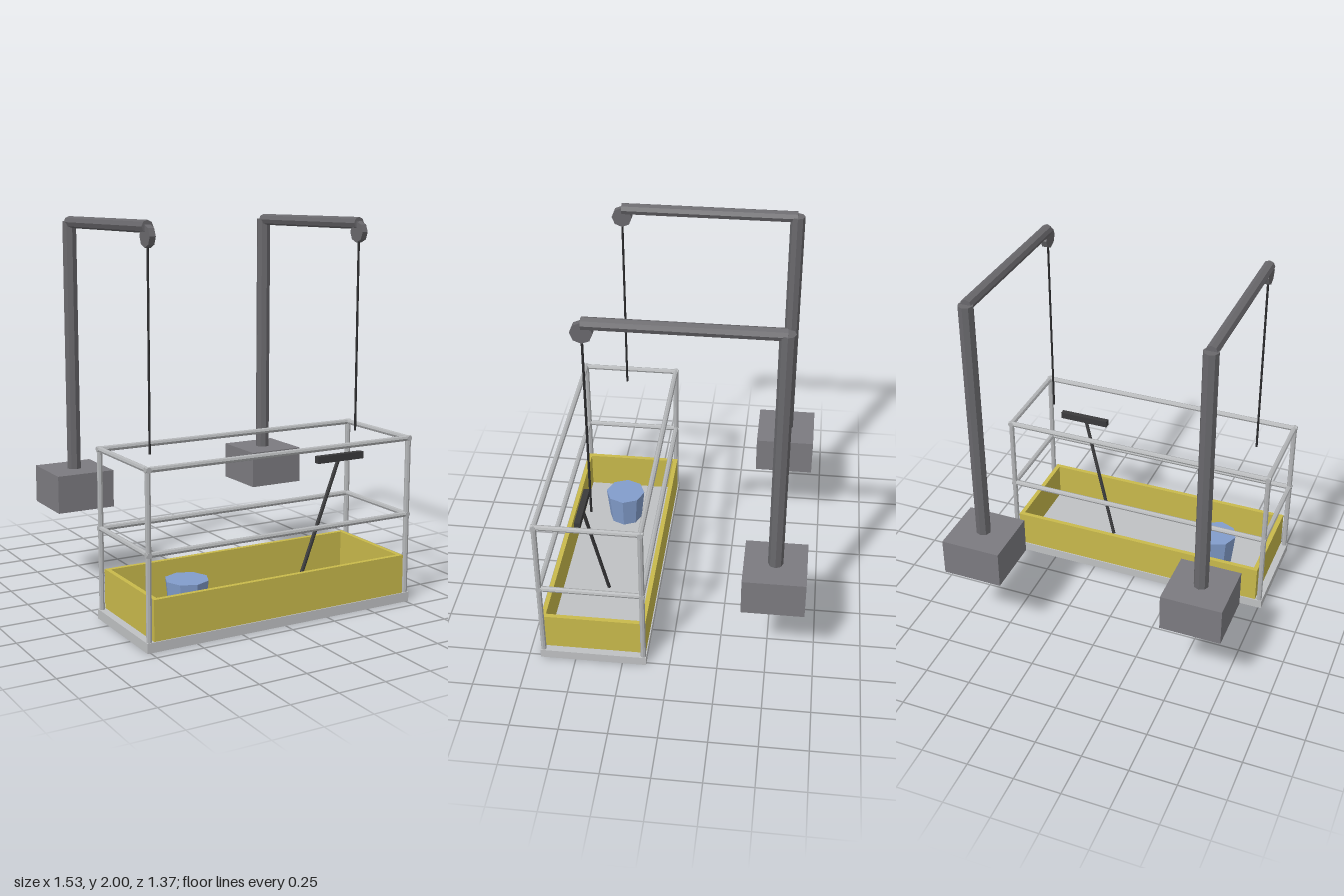
import * as THREE from 'three';

const mat = (name, color) => {
  const m = new THREE.MeshStandardMaterial({ color, flatShading: true });
  m.name = name;
  return m;
};

export function createModel() {
  const root = new THREE.Group();
  root.name = 'suspendedWorkPlatform';
  const deckGrey = mat('deck grey', 0xbfc1c3);
  const railGrey = mat('rail grey', 0xb4b6b8);
  const yellow = mat('board yellow', 0xc8b94b);
  const blockGrey = mat('counterweight grey', 0x7c7b80);
  const steel = mat('steel grey', 0x69686c);
  const black = mat('cable black', 0x2c2c2e);
  const dark = mat('tool dark grey', 0x3a3a3c);
  const blue = mat('bucket blue', 0x829dcc);

  const box = (name, m, w, h, d, x, y, z, parent = root) => {
    const mesh = new THREE.Mesh(new THREE.BoxGeometry(w, h, d), m);
    mesh.name = name;
    mesh.position.set(x, y, z);
    parent.add(mesh);
    return mesh;
  };
  // Eight-sided bar between two points
  const bar = (name, m, r, a, b, parent = root) => {
    const p = new THREE.Vector3(...a), q = new THREE.Vector3(...b);
    const dir = q.clone().sub(p);
    const mesh = new THREE.Mesh(new THREE.CylinderGeometry(r, r, dir.length(), 8), m);
    mesh.name = name;
    mesh.position.copy(p).add(q).multiplyScalar(0.5);
    mesh.quaternion.setFromUnitVectors(new THREE.Vector3(0, 1, 0), dir.normalize());
    parent.add(mesh);
    return mesh;
  };

  // Basket: deck, toe boards and guard rails
  const basket = new THREE.Group();
  basket.name = 'basket';
  root.add(basket);
  const zc = 0.405, rx = 0.75, rz = 0.266, r = 0.0145;
  box('deck', deckGrey, 1.534, 0.05, 0.564, 0, 0.025, zc, basket);
  for (const s of [-1, 1]) {
    const z = zc + s * rz, x = s * rx;
    box('longToeBoard', yellow, 1.456, 0.205, 0.024, 0, 0.1525, zc + s * 0.264, basket);
    box('endToeBoard', yellow, 0.024, 0.205, 0.504, s * 0.716, 0.1525, zc, basket);
    for (const y of [0.472, 0.876]) {
      bar('longRail', railGrey, r, [-rx - r, y, z], [rx + r, y, z], basket);
      bar('endRail', railGrey, r, [x, y, zc - rz - r], [x, y, zc + rz + r], basket);
    }
    for (const t of [-1, 1]) {
      bar('cornerPost', railGrey, r, [x, 0.05, zc + t * rz], [x, 0.884, zc + t * rz], basket);
    }
  }

  // Two davits, each with counterweight, mast, arm, pulley and cable
  for (const s of [-1, 1]) {
    const x = s * 0.606, zb = -0.526;
    const davit = new THREE.Group();
    davit.name = s > 0 ? 'leftDavit' : 'rightDavit';
    root.add(davit);
    box('counterweight', blockGrey, 0.322, 0.203, 0.322, x, 0.533, zb, davit);
    bar('mast', steel, 0.039, [x, 0.63, zb], [x, 1.973, zb], davit);
    bar('arm', steel, 0.031, [x, 1.969, zb], [x, 1.969, zc], davit);
    bar('pulley', steel, 0.054, [x - 0.016, 1.924, zc], [x + 0.016, 1.924, zc], davit);
    bar('cable', black, 0.006, [x, 0.885, zc], [x, 1.924, zc], davit);
  }

  // Bucket on the deck
  const bucket = new THREE.Mesh(new THREE.CylinderGeometry(0.113, 0.094, 0.18, 8), blue);
  bucket.name = 'bucket';
  bucket.position.set(-0.406, 0.14, 0.404);
  root.add(bucket);

  // Leaning squeegee
  const squeegee = new THREE.Group();
  squeegee.name = 'squeegee';
  root.add(squeegee);
  bar('squeegeeHandle', dark, 0.01, [0.24, 0.05, 0.404], [0.446, 0.77, 0.487], squeegee);
  box('squeegeeHead', dark, 0.284, 0.037, 0.031, 0.451, 0.772, 0.486, squeegee);

  return root;
}
